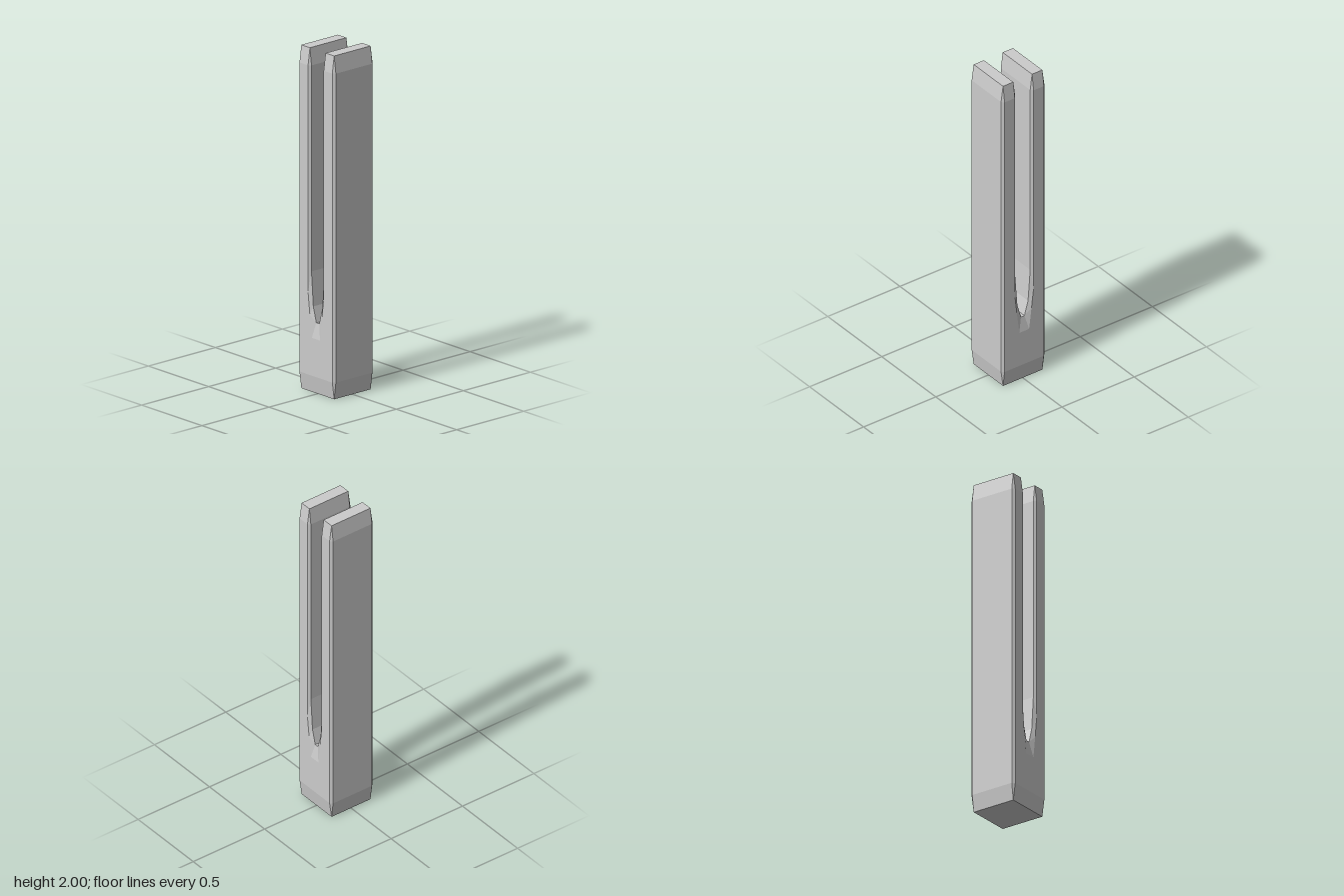
import * as THREE from 'three';

// One quarter (x >= 0, z >= 0) of the slotted bar, followed along its outline:
// base, outer side, top of the prong, then down into the slot.
const R = 0.136, E = 0.15;
const face = [
  [0, 0, R], [R, 0, R], [R, 0.1, E], [R, 1.9, E], [R, 2, R], [0.065, 2, R],
  [0.065, 1.9, E], [0.065, 0.58, E], [0.05, 0.45, E], [0.034, 0.32, E], [0, 0.32, E],
];
const wall = [
  [0, 0], [R, 0], [E, 0.1], [E, 1.9], [R, 2], [0.065, 2],
  [0.052, 1.9], [0.052, 0.7], [0.037, 0.5], [0.012, 0.41], [0, 0.41],
].map(([x, y]) => [x, y, R]);

function buildBar() {
  const positions = [];

  // Adds a triangle and its three mirror images, skipping collapsed ones
  const tri = (a, b, c) => {
    const t = new THREE.Triangle(...[a, b, c].map((p) => new THREE.Vector3(...p)));
    if (t.getArea() < 1e-7) return;
    for (const sx of [1, -1]) for (const sz of [1, -1]) {
      const order = sx * sz > 0 ? [a, b, c] : [a, c, b];
      for (const [x, y, z] of order) positions.push(x * sx, y, z * sz);
    }
  };
  const quad = (a, b, c, d) => { tri(a, b, c); tri(a, c, d); };

  // Chamfers, and the walls running through to the middle of the depth
  const mid = wall.map(([x, y]) => [x, y, 0]);
  for (let i = 0; i < face.length - 1; i++) {
    quad(face[i], wall[i], wall[i + 1], face[i + 1]);
    quad(wall[i], mid[i], mid[i + 1], wall[i + 1]);
  }

  // Sloping ends of the front face
  const baseCentre = [0, 0.1, E];
  quad(face[0], face[1], face[2], baseCentre);
  quad(face[6], face[3], face[4], face[5]);

  // Flat front face around the slot
  const flat = [baseCentre, face[2], face[3], ...face.slice(6)];
  const outline = flat.map(([x, y]) => new THREE.Vector2(x, y));
  for (const [a, b, c] of THREE.ShapeUtils.triangulateShape(outline, [])) {
    tri(flat[a], flat[b], flat[c]);
  }

  const geometry = new THREE.BufferGeometry();
  geometry.setAttribute('position', new THREE.Float32BufferAttribute(positions, 3));
  geometry.computeVertexNormals();
  return geometry;
}

export function createModel() {
  const group = new THREE.Group();
  group.name = 'clothespin';
  const material = new THREE.MeshStandardMaterial({ color: 0xcccccc, flatShading: true });
  const bar = new THREE.Mesh(buildBar(), material);
  bar.name = 'slottedBar';
  group.add(bar);
  return group;
}
